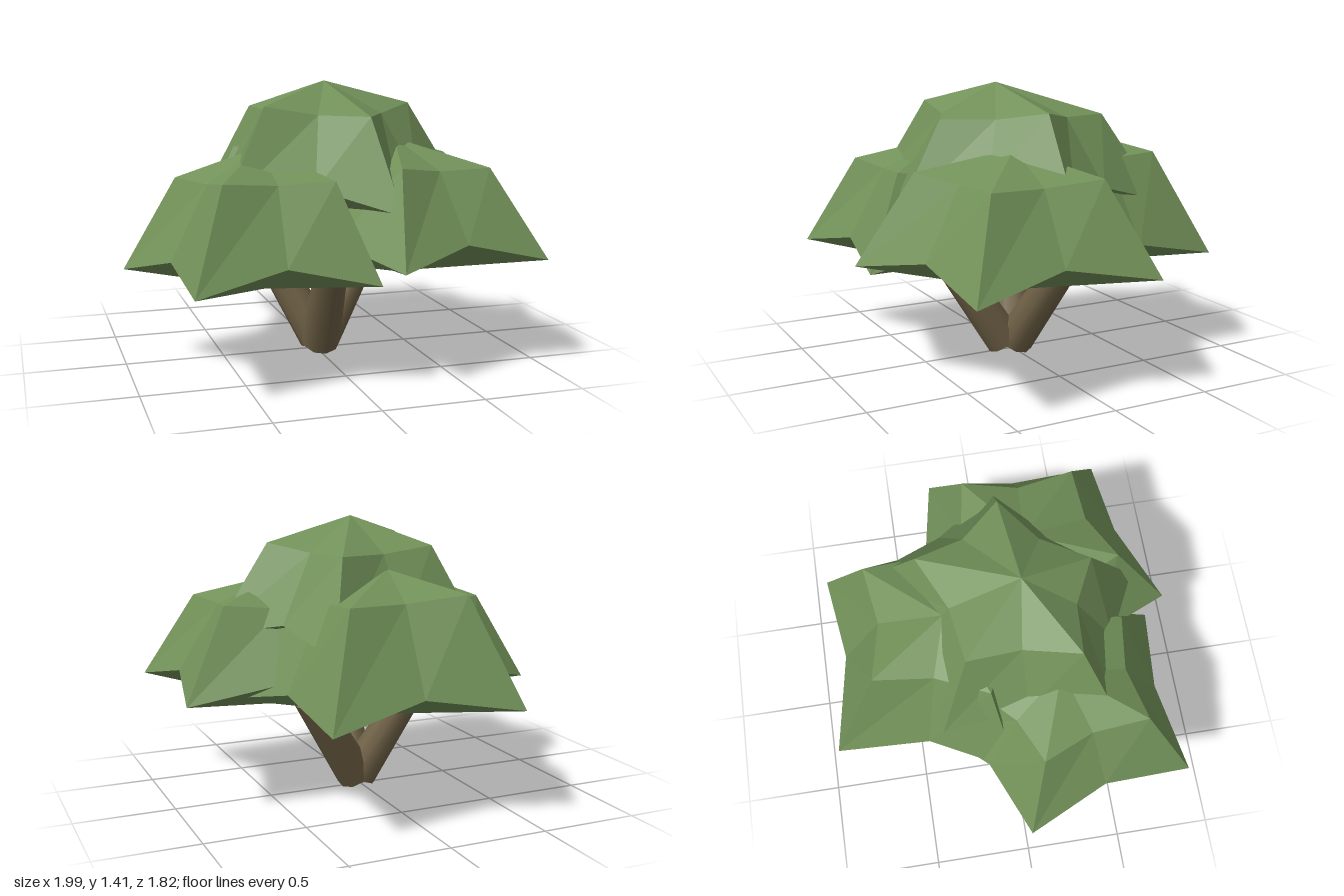
import * as THREE from 'three';

const leafMaterial = new THREE.MeshStandardMaterial({ color: 0x729159, flatShading: true });
leafMaterial.name = 'leaf green';
const barkMaterial = new THREE.MeshStandardMaterial({ color: 0x6e6045 });
barkMaterial.name = 'bark brown';

// Five-cornered faceted clump: apex, shoulder ring, star-shaped rim, shallow point below.
// corners are rim points [x, y, z], ordered by rising angle from +x towards +z.
function leafClump(name, [cx, cz], corners, apex, poleY, rise) {
  const rim = [], shoulder = [];
  const addPair = (x, rimY, shoulderY, z) => {
    rim.push([x, rimY, z]);
    shoulder.push([cx + (x - cx) * 0.62, shoulderY, cz + (z - cz) * 0.62]);
  };
  corners.forEach(([x, y, z], i) => {
    const [nx, ny, nz] = corners[(i + 1) % corners.length];
    addPair(x, y, y + rise, z);
    // Notch between two corners, pulled towards the axis
    const my = (y + ny) / 2;
    addPair(cx + ((x + nx) / 2 - cx) * 0.87, my + 0.09, my + rise - 0.02, cz + ((z + nz) / 2 - cz) * 0.87);
  });

  const pole = [cx, poleY, cz];
  const positions = [];
  const tri = (...points) => points.forEach((p) => positions.push(...p));
  for (let i = 0; i < rim.length; i++) {
    const j = (i + 1) % rim.length;
    tri(apex, shoulder[j], shoulder[i]);
    tri(shoulder[i], shoulder[j], rim[j]);
    tri(shoulder[i], rim[j], rim[i]);
    tri(pole, rim[i], rim[j]);
  }
  const geometry = new THREE.BufferGeometry();
  geometry.setAttribute('position', new THREE.Float32BufferAttribute(positions, 3));
  geometry.computeVertexNormals();
  const mesh = new THREE.Mesh(geometry, leafMaterial);
  mesh.name = name;
  return mesh;
}

// Tapered limb between two points
function limb(name, from, to) {
  const a = new THREE.Vector3(...from), b = new THREE.Vector3(...to);
  const axis = b.clone().sub(a);
  const mesh = new THREE.Mesh(new THREE.CylinderGeometry(0.08, 0.1, axis.length(), 10), barkMaterial);
  mesh.position.copy(a).add(b).multiplyScalar(0.5);
  mesh.quaternion.setFromUnitVectors(new THREE.Vector3(0, 1, 0), axis.normalize());
  mesh.name = name;
  return mesh;
}

export function createModel() {
  const group = new THREE.Group();
  group.name = 'tree';

  // Three limbs spreading from one foot
  group.add(
    limb('frontLimb', [0.01, 0.055, 0.055], [-0.03, 0.55, 0.38]),
    limb('rightLimb', [0.01, 0.055, 0], [-0.24, 0.53, -0.13]),
    limb('leftLimb', [0.03, 0.055, 0], [0.34, 0.53, -0.13]),
  );

  // Three lower clumps and the crown
  group.add(
    leafClump('leftClump', [0.36, 0.19], [
      [0.14, 0.56, -0.55], [0.99, 0.57, -0.25], [0.98, 0.55, 0.68], [0.14, 0.58, 0.91], [-0.38, 0.56, 0.18],
    ], [0.36, 1.12, 0.18], 0.43, 0.44),
    leafClump('rightClump', [-0.34, 0.25], [
      [-0.36, 0.5, -0.44], [0.33, 0.5, 0.02], [0.07, 0.51, 0.81], [-0.8, 0.52, 0.86], [-1, 0.49, 0.01],
    ], [-0.36, 1.1, 0.24], 0.4, 0.46),
    leafClump('backClump', [0.03, -0.25], [
      [-0.44, 0.56, -0.91], [0.52, 0.53, -0.88], [0.75, 0.54, -0.02], [0.04, 0.55, 0.5], [-0.68, 0.55, -0.02],
    ], [-0.02, 1.17, -0.28], 0.44, 0.52),
    leafClump('crownClump', [0.02, 0.04], [
      [-0.5, 0.83, -0.36], [0.4, 0.81, -0.63], [0.76, 0.85, 0.07], [0.2, 0.81, 0.72], [-0.59, 0.86, 0.51],
    ], [0.01, 1.41, 0.1], 0.7, 0.44),
  );
  return group;
}
